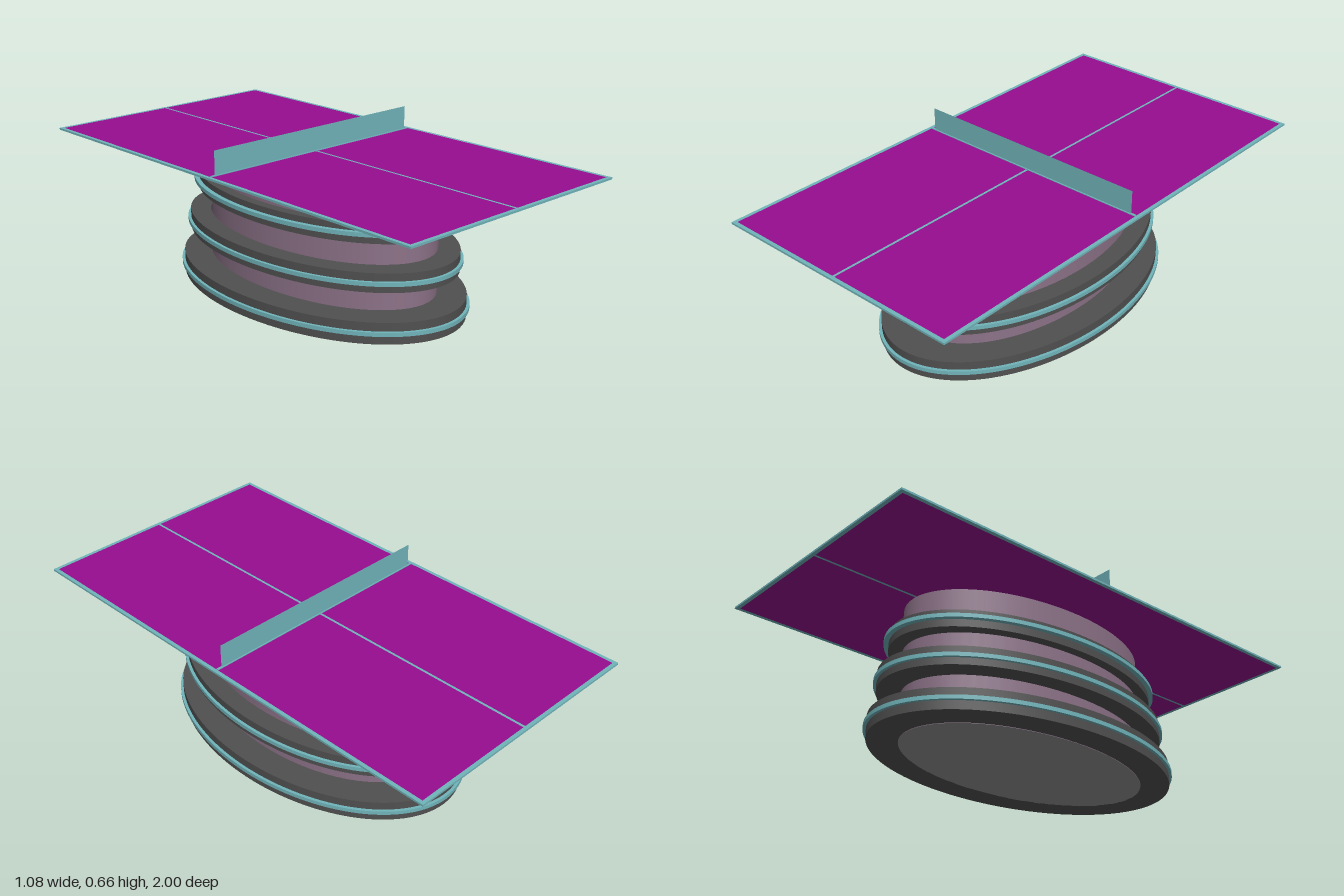
import * as THREE from 'three';
import { toCreasedNormals } from 'three/addons/utils/BufferGeometryUtils.js';

const mat = (color, side = THREE.FrontSide) => new THREE.MeshStandardMaterial({ color, side });
const teal = mat(0x70b4ba);
const purple = mat(0x970d90);
const grey = mat(0x505050);
const capGrey = mat(0x909090);
const drumColor = mat(0x8c7288);

const CORE = { rx: 0.317, rz: 0.56, z: 0.02 };

function add(parent, name, geometry, material, x = 0, y = 0, z = 0) {
  const mesh = new THREE.Mesh(geometry, material);
  mesh.name = name;
  mesh.position.set(x, y, z);
  parent.add(mesh);
  return mesh;
}

// Horizontal elliptical ring of height h, with an elliptical hole
function ovalRing(rx, rz, holeX, holeZ, h) {
  const shape = new THREE.Shape().absellipse(0, 0, rx, rz, 0, Math.PI * 2);
  shape.holes.push(new THREE.Path().absellipse(0, 0, holeX, holeZ, 0, Math.PI * 2, true));
  const g = new THREE.ExtrudeGeometry(shape, { depth: h, bevelEnabled: false, curveSegments: 64 });
  g.rotateX(-Math.PI / 2);
  return toCreasedNormals(g, 0.6);
}

export function createModel() {
  const model = new THREE.Group();
  model.name = 'ovalPedestalTable';

  // Oval drum pedestal
  const drumHeight = 0.545;
  const drum = new THREE.CylinderGeometry(1, 1, drumHeight, 64);
  drum.scale(CORE.rx, 1, CORE.rz);
  add(model, 'pedestalDrum', drum, [drumColor, capGrey, capGrey], 0.003, drumHeight / 2, CORE.z);

  // Stacked collars, each with a thin trim band
  const collars = [
    { y: 0, h: 0.085, rx: 0.428, rz: 0.685, trimY: 0.035 },
    { y: 0.188, h: 0.075, rx: 0.394, rz: 0.657, trimY: 0.216 },
    { y: 0.36, h: 0.07, rx: 0.356, rz: 0.618, trimY: 0.39 },
  ];
  collars.forEach((c, i) => {
    const group = new THREE.Group();
    group.name = `collar${i + 1}`;
    const out = i === 2 ? 0.019 : 0.012;
    add(group, 'collarRing', ovalRing(c.rx, c.rz, CORE.rx, CORE.rz, c.h), grey, 0, c.y, 0.017);
    add(group, 'trimBand', ovalRing(c.rx + out, c.rz + out, c.rx - 0.01, c.rz - 0.01, 0.016),
      teal, 0, c.trimY, 0.017);
    model.add(group);
  });

  // Table top: two panels inside a border, with a lengthwise centre line
  const top = new THREE.Group();
  top.name = 'tableTop';
  top.position.y = 0.556;
  const t = 0.008;
  for (const s of [1, -1]) {
    add(top, 'panel', new THREE.BoxGeometry(0.52, t, 1.97), purple, s * 0.265, 0, 0);
    add(top, 'sideBorder', new THREE.BoxGeometry(0.015, t, 2), teal, s * 0.5325, 0, 0);
    add(top, 'endBorder', new THREE.BoxGeometry(1.05, t, 0.015), teal, 0, 0, s * 0.9925);
  }
  add(top, 'centreLine', new THREE.BoxGeometry(0.01, t, 1.97), teal);
  add(top, 'netBase', new THREE.BoxGeometry(1.05, 0.004, 0.01), teal, 0, 0.005, 0);
  model.add(top);

  // Thin upright net
  add(model, 'net', new THREE.PlaneGeometry(1.012, 0.097), mat(0x70b4ba, THREE.DoubleSide),
    -0.001, 0.6085, 0);

  return model;
}
